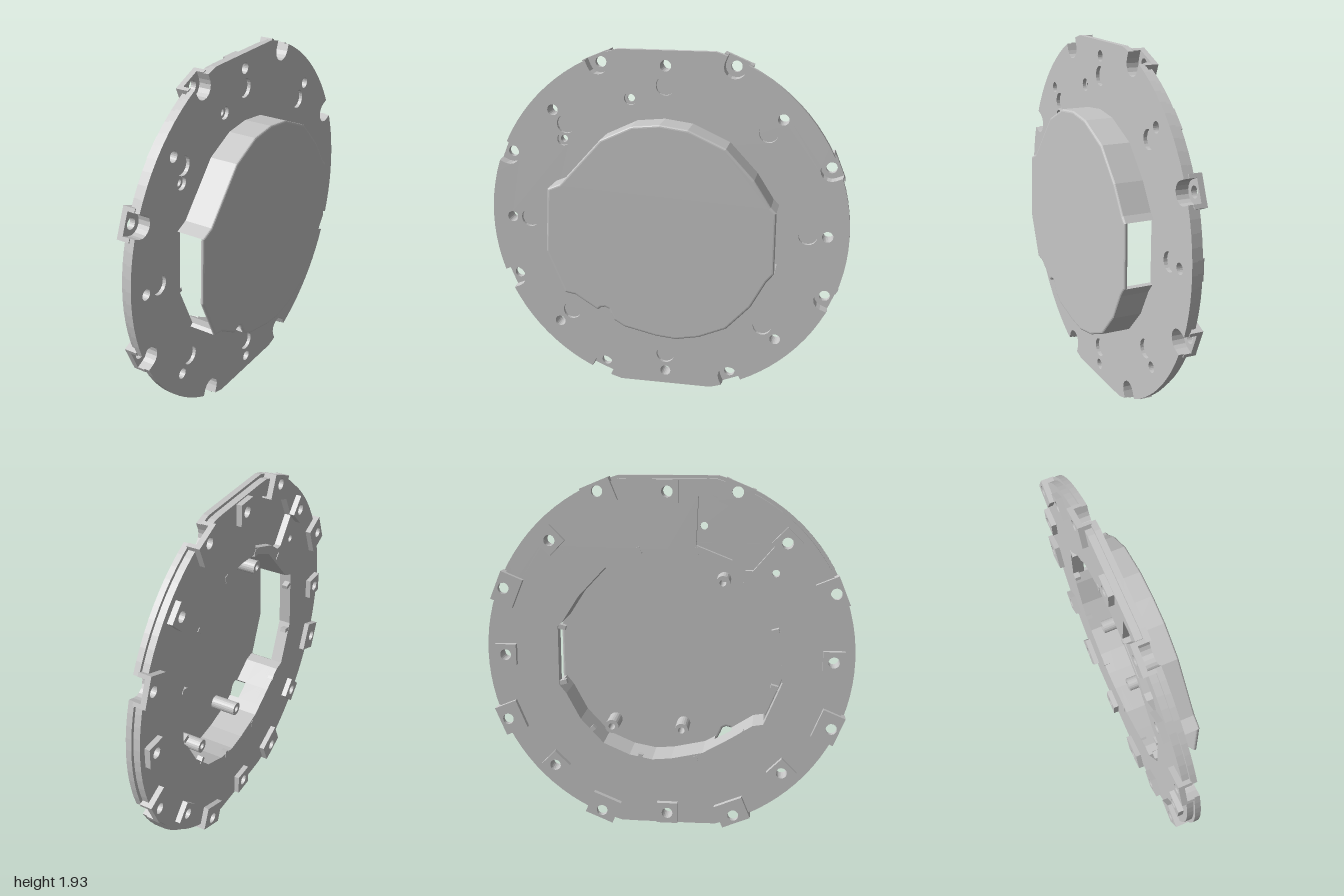
import * as THREE from 'three';

const TAU = Math.PI * 2;
const CENTRE_Y = 0.965;

// Shapes are drawn in a face plane (u = -z, v = y from centre) and extruded along x.
export function createModel() {
  const model = new THREE.Group();
  model.name = 'housingCover';
  const face = new THREE.Group();
  face.name = 'coverBody';
  face.rotation.y = Math.PI / 2;
  face.position.y = CENTRE_Y;
  model.add(face);
  const grey = new THREE.MeshStandardMaterial({ color: 0xc6c6c6 });
  grey.name = 'moulded grey';

  const vec = (u, v) => new THREE.Vector2(u, v);
  const polar = (r, a) => vec(r * Math.cos(a), r * Math.sin(a));
  const circle = (c, r) => new THREE.Path().absarc(c.x, c.y, r, 0, TAU, true);
  const rimPoint = (r, a, flat) => {
    const p = polar(r, a);
    p.y = THREE.MathUtils.clamp(p.y, -flat, flat);
    return p;
  };
  function add(name, shape, from, to, bevel = 0) {
    const geo = new THREE.ExtrudeGeometry(shape, {
      depth: to - from - 2 * bevel, curveSegments: 10, bevelEnabled: bevel > 0,
      bevelThickness: bevel, bevelSize: bevel * 1.4, bevelOffset: -bevel * 1.4,
      bevelSegments: 3,
    });
    geo.translate(0, 0, from + bevel);
    const mesh = new THREE.Mesh(geo, grey);
    mesh.name = name;
    face.add(mesh);
    return mesh;
  }

  // Plate outline: a circle with flat top and bottom and eight open screw notches
  const NOTCH = 0.06, NOTCH_R = 0.96, step = TAU / 8;
  const notchAngles = Array.from({ length: 8 }, (_, k) => (k + 0.5) * step);
  function plateOutline(radius, flat) {
    const pts = [];
    const h = Math.asin(NOTCH / radius);
    for (const a of notchAngles) {
      pts.push(polar(radius, a - h));
      for (let i = 0; i <= 8; i++) {
        const t = -Math.PI / 2 - (i / 8) * Math.PI;
        pts.push(vec(NOTCH_R + NOTCH * Math.cos(t), NOTCH * Math.sin(t))
          .rotateAround(vec(0, 0), a));
      }
      for (let i = 0; i < 10; i++) {
        pts.push(rimPoint(radius, a + h + (i / 10) * (step - 2 * h), flat));
      }
    }
    return new THREE.Shape(pts);
  }

  // Raised dome outline, split by the two side windows
  const toVecs = (list) => list.map(([u, v]) => vec(u, v - CENTRE_Y));
  const upper = toVecs([[0.62, 1.13], [0.59, 1.16], [0.5, 1.3], [0.35, 1.46], [0.15, 1.55],
    [0, 1.57], [-0.15, 1.555], [-0.32, 1.475], [-0.55, 1.22], [-0.62, 1.19]]);
  const lowerLeft = toVecs([[-0.64, 0.83], [-0.54, 0.59], [-0.48, 0.58], [-0.355, 0.5]]);
  const lowerRight = toVecs([[-0.26, 0.445], [-0.2, 0.41], [-0.02, 0.37], [0.09, 0.36],
    [0.22, 0.385], [0.37, 0.45], [0.5, 0.59], [0.58, 0.74], [0.62, 0.79]]);
  const domeOutline = [...upper, ...lowerLeft, ...lowerRight];
  const shrink = (pts) => pts.map((p) => p.clone().multiplyScalar(0.965));

  // Stepped plate: front layer with shallow round pockets, thin web, and a
  // slightly smaller rear layer with a recessed channel beside the opening
  const screwHoles = [vec(-0.19, 0.705), vec(-0.57, 0.465)];
  const channel = [vec(-0.16, 0.86), vec(-0.22, 0.87), vec(-0.5, 0.735), vec(-0.565, 0.61),
    vec(-0.45, 0.475), vec(-0.41, 0.475), vec(-0.34, 0.53), vec(-0.15, 0.605)];
  function plate(name, from, to, outline, screws, screwRadius, extraHoles) {
    outline.holes.push(new THREE.Path(shrink(domeOutline)), ...extraHoles);
    for (let k = 0; k < 8; k++) outline.holes.push(circle(polar(0.885, k * step), 0.03));
    for (const c of screws) outline.holes.push(circle(c, screwRadius));
    add(name, outline, from, to);
  }
  const pockets = notchAngles.map((a) => circle(polar(0.78, a - step / 2), 0.052));
  plate('plateFront', -0.053, -0.033, plateOutline(1, 0.965), screwHoles, 0.035, pockets);
  plate('plateWeb', -0.064, -0.053, plateOutline(1, 0.965), screwHoles, 0.02, []);
  plate('plateRear', -0.1, -0.064, plateOutline(0.982, 0.95), screwHoles.slice(1), 0.02,
    [new THREE.Path(channel)]);

  // Fixing pads: small squares with holes, and notch pads with raised collars
  const rect = (r0, r1, w) => new THREE.Shape([vec(r0, -w), vec(r1, -w), vec(r1, w), vec(r0, w)]);
  const PAD_END = 1.003, PAD_W = 0.082;
  for (let k = 0; k < 8; k++) {
    const pad = rect(0.827, 0.943, 0.058);
    pad.holes.push(circle(vec(0.885, 0), 0.03));
    add('fixingPad', pad, -0.13, -0.1).rotation.z = k * step;

    const floor = rect(0.875, PAD_END, PAD_W);
    floor.holes.push(circle(vec(NOTCH_R - 0.003, 0), 0.03));
    add('notchFloor', floor, -0.13, -0.1).rotation.z = notchAngles[k];

    const collar = new THREE.Shape();
    collar.moveTo(PAD_END, -PAD_W);
    collar.lineTo(PAD_END, -NOTCH);
    collar.lineTo(NOTCH_R, -NOTCH);
    collar.absarc(NOTCH_R, 0, NOTCH, -Math.PI / 2, -Math.PI * 1.5, true);
    collar.lineTo(PAD_END, NOTCH);
    collar.lineTo(PAD_END, PAD_W);
    collar.lineTo(0.875, PAD_W);
    collar.lineTo(0.875, -PAD_W);
    add('notchCollar', collar, -0.1, -0.06).rotation.z = notchAngles[k];
  }

  // Dome walls, leaving the two windows and a small slot open
  const strip = (pts) => new THREE.Shape([...pts, ...shrink(pts).reverse()]);
  const lowerWall = [...lowerLeft.slice(1), ...lowerRight];
  add('domeWallUpper', strip(upper), -0.04, 0.113);
  add('domeWallLower', strip(lowerWall), -0.04, 0.045);
  add('domeWallLowerLeft', strip(lowerLeft.slice(1)), 0.045, 0.113);
  add('domeWallLowerRight', strip(lowerRight), 0.045, 0.113);

  // Flat dome cap with a small rounded notch at the slot
  const capNotch = toVecs([[-0.335, 0.515], [-0.31, 0.52], [-0.29, 0.51], [-0.28, 0.485]]);
  add('domeCap', new THREE.Shape([...upper, ...lowerLeft, ...capNotch, ...lowerRight]),
    0.104, 0.126, 0.009);

  // Small teeth around the back of the opening
  for (let k = 0; k < 12; k++) {
    const tooth = rect(0.575, 0.615, 0.012);
    add('openingTooth', tooth, -0.103, -0.07).rotation.z = (k + 0.5) * TAU / 12;
  }

  // Hollow screw bosses inside the dome
  for (const c of [vec(-0.29, 0.4), vec(-0.07, -0.43), vec(0.32, -0.42)]) {
    const boss = new THREE.Shape().absarc(c.x, c.y, 0.038, 0, TAU, false);
    boss.holes.push(circle(c, 0.018));
    add('innerBoss', boss, -0.04, 0.105);
  }
  return model;
}
